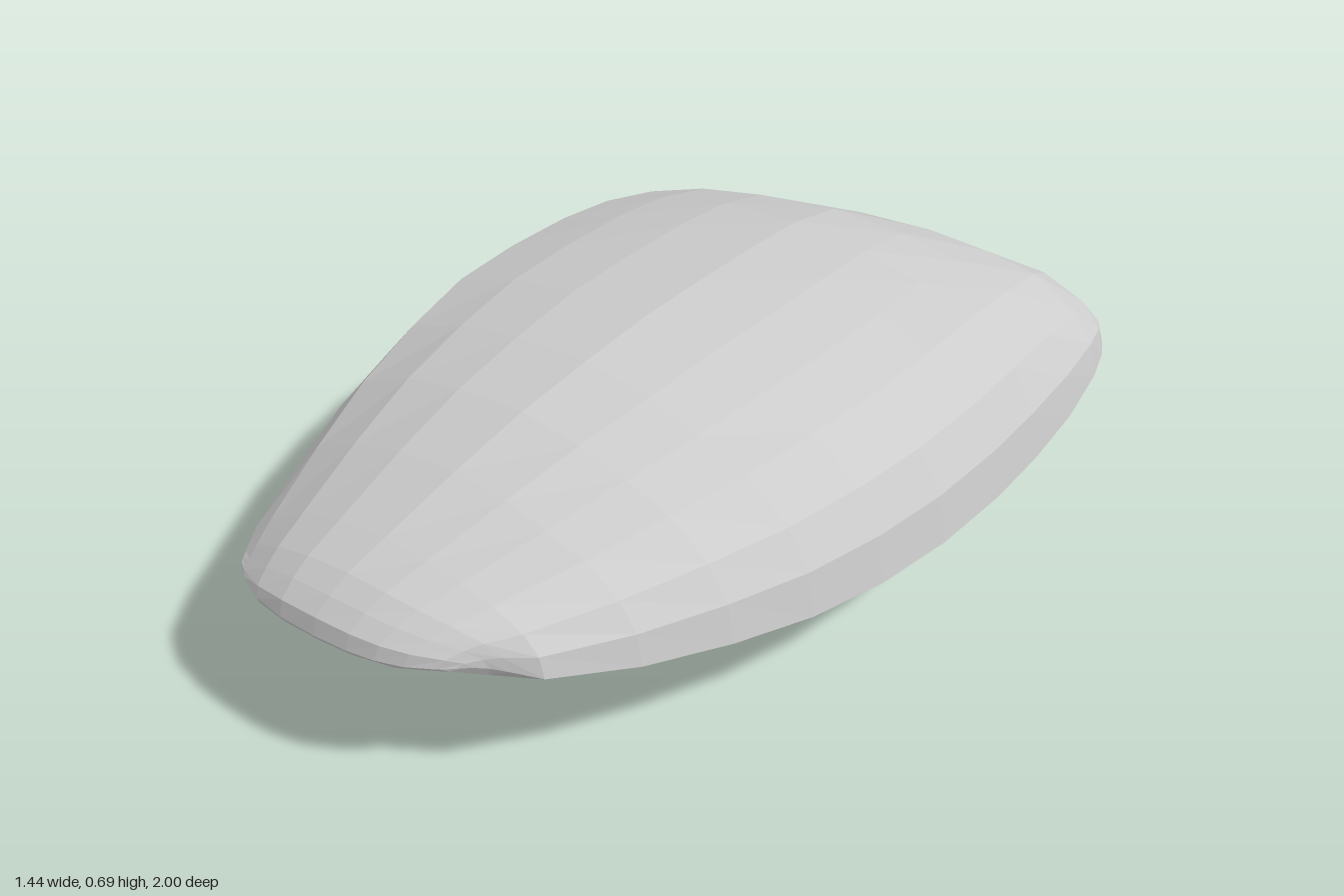
import * as THREE from 'three';

// cross-section: position across the width (-1..1), height offset from the edge line
const PROFILE = [
  [-1, 0.19], [-0.86, 0.308], [-0.6, 0.372], [-0.32, 0.412], [0, 0.43], [0.28, 0.406], [0.5, 0.365],
  [0.7, 0.314], [0.88, 0.222], [0.97, 0.12], [1, 0], [0.9, -0.095], [0.6, -0.14], [0.28, -0.17],
  [0, -0.178], [-0.32, -0.207], [-0.6, -0.24], [-0.83, -0.21], [-0.985, -0.02],
];

// stations: z, right x, left x, right edge y, left edge y, top scale, bottom scale
const STATIONS = [
  [1.0, -0.38, 0.29, 0.32, 0.385, 0.0, 0.0],
  [0.99, -0.39, 0.305, 0.317, 0.385, 0.1, 0.08],
  [0.95, -0.408, 0.33, 0.308, 0.38, 0.2, 0.12],
  [0.9, -0.428, 0.36, 0.295, 0.372, 0.3, 0.14],
  [0.8, -0.467, 0.415, 0.275, 0.355, 0.43, 0.165],
  [0.6, -0.543, 0.513, 0.258, 0.322, 0.645, 0.25],
  [0.4, -0.607, 0.592, 0.255, 0.3, 0.8, 0.38],
  [0.2, -0.655, 0.652, 0.25, 0.282, 0.91, 0.54],
  [0.0, -0.692, 0.69, 0.245, 0.275, 0.98, 0.71],
  [-0.2, -0.715, 0.713, 0.237, 0.282, 1.0, 0.83],
  [-0.4, -0.724, 0.72, 0.228, 0.3, 1.0, 0.94],
  [-0.56, -0.718, 0.718, 0.218, 0.325, 0.98, 0.98],
  [-0.72, -0.703, 0.71, 0.21, 0.36, 0.89, 0.99],
  [-0.86, -0.682, 0.69, 0.205, 0.4, 0.71, 0.87],
  [-0.93, -0.655, 0.667, 0.2, 0.42, 0.55, 0.71],
  [-0.965, -0.63, 0.64, 0.2, 0.43, 0.4, 0.54],
  [-0.984, -0.605, 0.615, 0.2, 0.435, 0.2, 0.28],
  [-0.986, -0.59, 0.6, 0.2, 0.435, 0.0, 0.0],
];

// outline of the notched back end: x, shift in z
const BACK = [[-0.72, 0.02], [-0.6, 0], [-0.45, 0.02], [-0.25, 0.062], [0, 0.055], [0.2, 0.02], [0.45, -0.015], [0.6, 0], [0.72, 0.03]];

function backShift(x) {
  const i = Math.max(1, BACK.findIndex(([bx]) => x <= bx));
  const [x0, s0] = BACK[i - 1], [x1, s1] = BACK[i];
  return THREE.MathUtils.mapLinear(x, x0, x1, s0, s1);
}

function ring([z, xr, xl, er, el, top, bottom]) {
  return PROFILE.map(([u, h]) => {
    const t = (u + 1) / 2;
    const x = THREE.MathUtils.lerp(xr, xl, t);
    // the right wall fades out faster than the rest of the top towards the nose
    const fade = z > 0 ? 1 + Math.max(0, -u) ** 4 : 1;
    const y = THREE.MathUtils.lerp(er, el, t) + h * (h > 0 ? top ** fade : bottom);
    // rounded nose and notched back
    const front = THREE.MathUtils.clamp((z - 0.75) / 0.25, 0, 1);
    const back = THREE.MathUtils.clamp((-0.4 - z) / 0.55, 0, 1);
    const nose = 0.35 * (x + 0.05) ** 2 + 4.5 * (x + 0.05) ** 4;
    return [x, y, z - front * front * nose + back * back * backShift(x)];
  });
}

export function createModel() {
  const n = PROFILE.length;
  const index = [];
  for (let i = 0; i < STATIONS.length - 1; i++) {
    for (let j = 0; j < n; j++) {
      const a = i * n + j, b = i * n + (j + 1) % n;
      index.push(a, b, b + n, a, b + n, a + n);
    }
  }
  const geometry = new THREE.BufferGeometry();
  geometry.setAttribute('position', new THREE.Float32BufferAttribute(STATIONS.flatMap(ring).flat(), 3));
  geometry.setIndex(index);
  geometry.computeVertexNormals();

  const grey = new THREE.MeshStandardMaterial({ color: 0xcccccc, flatShading: true });
  grey.name = 'light grey';
  const shell = new THREE.Mesh(geometry, grey);
  shell.name = 'wedgeBody';

  const group = new THREE.Group();
  group.name = 'taperedWedge';
  group.add(shell);
  return group;
}
